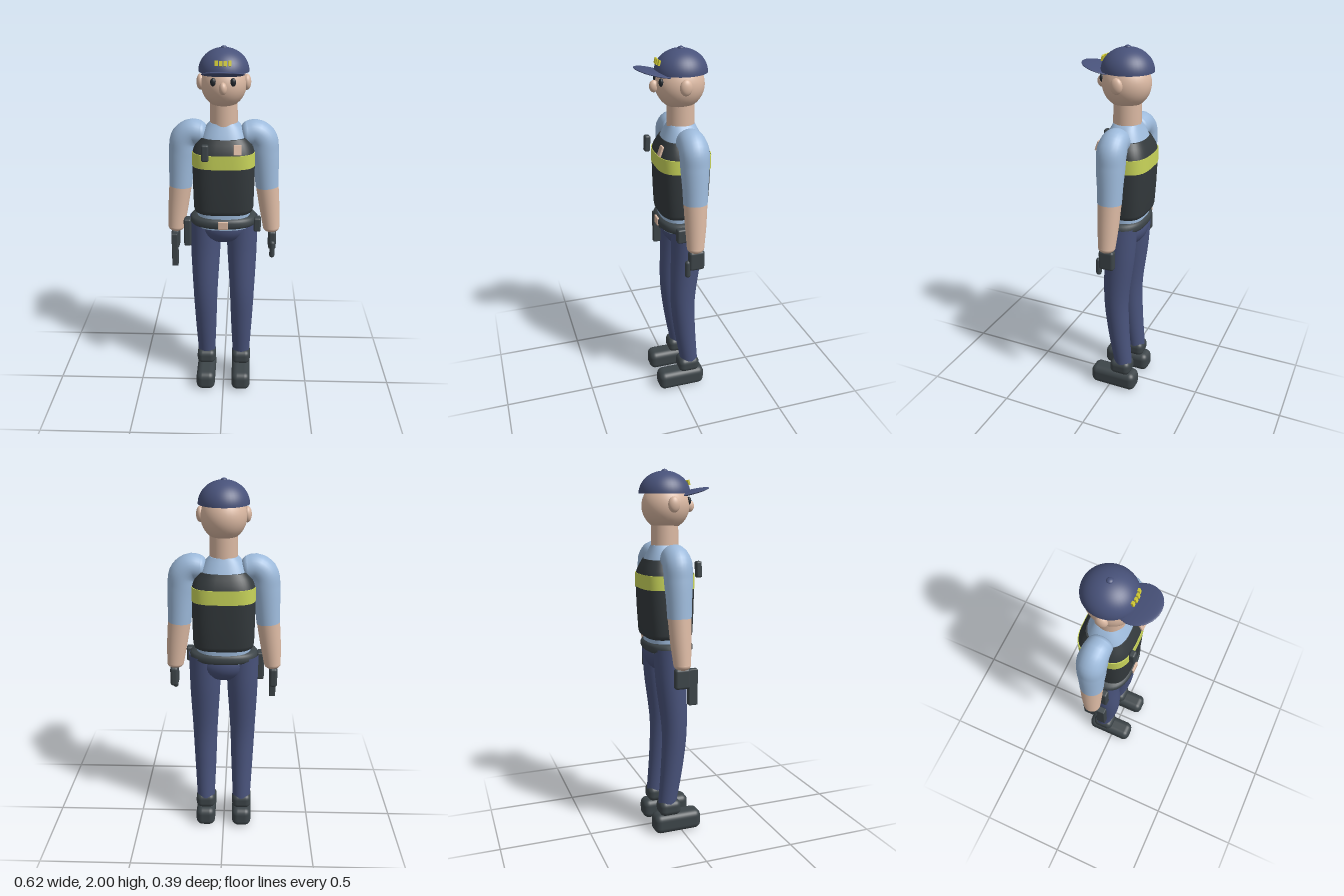
import * as THREE from 'three';
import { RoundedBoxGeometry } from 'three/addons/geometries/RoundedBoxGeometry.js';

const mat = (name, color, side = THREE.FrontSide) => {
  const m = new THREE.MeshStandardMaterial({ color, side });
  m.name = name;
  return m;
};

// Smooth loft of rounded-rectangle rings; each section is [y, rx, rz, cz]
function loft(sections, power = 3, seg = 48) {
  const pos = [], idx = [];
  const bend = (v) => Math.sign(v) * Math.abs(v) ** (2 / power);
  const ring = ([y, rx, rz, cz]) => {
    for (let i = 0; i < seg; i++) {
      const a = (i / seg) * Math.PI * 2;
      pos.push(rx * bend(Math.sin(a)), y, cz + rz * bend(Math.cos(a)));
    }
  };
  sections.forEach(ring);
  for (let j = 0; j < sections.length - 1; j++) {
    for (let i = 0; i < seg; i++) {
      const a = j * seg + i, b = j * seg + ((i + 1) % seg);
      idx.push(a, b, a + seg, b, b + seg, a + seg);
    }
  }
  // flat end caps with their own rings
  [sections[0], sections[sections.length - 1]].forEach((s, end) => {
    const base = pos.length / 3;
    ring(s);
    pos.push(0, s[0], s[3]);
    for (let i = 0; i < seg; i++) {
      const a = base + i, b = base + ((i + 1) % seg);
      if (end) idx.push(a, b, base + seg);
      else idx.push(b, a, base + seg);
    }
  });
  const g = new THREE.BufferGeometry();
  g.setAttribute('position', new THREE.Float32BufferAttribute(pos, 3));
  g.setIndex(idx);
  g.computeVertexNormals();
  return g;
}

// Tube along a path whose radius follows a list of values
function limb(points, radii, steps = 28, sides = 28) {
  const curve = new THREE.CatmullRomCurve3(points.map((p) => new THREE.Vector3(...p)));
  const g = new THREE.TubeGeometry(curve, steps, 1, sides);
  const p = g.attributes.position, v = new THREE.Vector3();
  for (let i = 0; i <= steps; i++) {
    const c = curve.getPointAt(i / steps);
    const f = (i / steps) * (radii.length - 1);
    const k = Math.min(Math.floor(f), radii.length - 2);
    const r = THREE.MathUtils.lerp(radii[k], radii[k + 1], f - k);
    for (let j = 0; j <= sides; j++) {
      const n = i * (sides + 1) + j;
      v.fromBufferAttribute(p, n).sub(c).multiplyScalar(r).add(c);
      p.setXYZ(n, v.x, v.y, v.z);
    }
  }
  return g;
}

export function createModel() {
  const model = new THREE.Group();
  model.name = 'officer';
  const navy = mat('navy', 0x48527a, THREE.DoubleSide);
  const blue = mat('shirt blue', 0x9dbadb, THREE.DoubleSide);
  const skin = mat('skin', 0xdab8a2, THREE.DoubleSide);
  const vestDark = mat('vest black', 0x33393c);
  const dark = mat('gear grey', 0x3d4549);
  const lime = mat('reflective yellow', 0xc9d55a);
  const gold = mat('gold', 0xd6cf35);
  const black = mat('eye black', 0x22282e);

  const add = (name, geo, material, x = 0, y = 0, z = 0) => {
    const m = new THREE.Mesh(geo, material);
    m.name = name;
    m.position.set(x, y, z);
    model.add(m);
    return m;
  };
  const ball = (name, material, x, y, z, rx, ry = rx, rz = rx) => {
    const m = add(name, new THREE.SphereGeometry(1, 32, 20), material, x, y, z);
    m.scale.set(rx, ry, rz);
    return m;
  };
  const box = (name, material, x, y, z, w, h, d, r = 0.01) =>
    add(name, new RoundedBoxGeometry(w, h, d, 4, r), material, x, y, z);

  // Head and face
  ball('head', skin, 0, 1.812, -0.045, 0.119, 0.125, 0.128);
  add('neck', new THREE.CylinderGeometry(0.072, 0.074, 0.14, 32), skin, 0, 1.65, -0.05);
  ball('nose', skin, 0, 1.81, 0.092, 0.02, 0.031, 0.024);
  for (const s of [-1, 1]) {
    ball('ear', skin, s * 0.119, 1.82, -0.04, 0.022, 0.041, 0.032);
    ball('eye', black, s * 0.05, 1.838, 0.068, 0.015, 0.021, 0.012);
  }

  // Cap: dome, closed underside, button, brim and front trim
  const dome = add('capDome', new THREE.SphereGeometry(1, 40, 16, 0, Math.PI * 2, 0, Math.PI / 2), navy, 0, 1.874, -0.05);
  dome.scale.set(0.131, 0.117, 0.137);
  const under = add('capUnderside', new THREE.CircleGeometry(1, 40), navy, 0, 1.874, -0.05);
  under.rotation.x = Math.PI / 2;
  under.scale.set(0.131, 0.137, 1);
  ball('capButton', navy, 0, 1.99, -0.05, 0.016, 0.01, 0.016);
  const brim = ball('capBrim', navy, 0, 1.88, 0.09, 0.108, 0.011, 0.107);
  brim.rotation.x = -0.25;
  for (let i = 0; i < 4; i++) {
    const x = (i - 1.5) * 0.022;
    const b = add('capTrim', new THREE.BoxGeometry(0.015, 0.026, 0.01), gold, x, 1.931, 0.077 - x * x * 4);
    b.rotation.set(-0.25, x * 3, 0);
  }

  // Torso: shirt yoke and waist, vest with reflective band
  add('shirtYoke', loft([[1.53, 0.125, 0.107, -0.052], [1.56, 0.112, 0.094, -0.052],
    [1.59, 0.092, 0.079, -0.052], [1.61, 0.073, 0.07, -0.052]], 2.5), blue);
  add('shirtWaist', loft([[1.03, 0.145, 0.112, -0.046], [1.14, 0.147, 0.114, -0.046]], 2.6), blue);
  add('vestLower', loft([[1.118, 0.148, 0.118, -0.049], [1.126, 0.159, 0.127, -0.049],
    [1.145, 0.164, 0.131, -0.05], [1.26, 0.167, 0.137, -0.051], [1.385, 0.168, 0.141, -0.052]], 3.2), vestDark);
  add('vestBand', loft([[1.385, 0.17, 0.144, -0.052], [1.46, 0.169, 0.144, -0.052]], 3.2), lime);
  add('vestUpper', loft([[1.46, 0.167, 0.141, -0.052], [1.485, 0.159, 0.133, -0.052],
    [1.51, 0.145, 0.12, -0.052], [1.536, 0.126, 0.107, -0.052]], 3), vestDark);
  const radio = box('radio', dark, -0.093, 1.482, 0.107, 0.038, 0.088, 0.032);
  radio.rotation.x = -0.05;
  const badge = box('chestBadge', skin, 0.075, 1.492, 0.081, 0.04, 0.055, 0.012, 0.003);
  badge.rotation.x = -0.35;

  // Belt and its gear
  add('belt', loft([[1.038, 0.155, 0.11, -0.043], [1.045, 0.174, 0.122, -0.043], [1.057, 0.184, 0.128, -0.043],
    [1.077, 0.184, 0.128, -0.043], [1.089, 0.174, 0.122, -0.043], [1.096, 0.155, 0.11, -0.043]], 2.5), dark);
  box('buckle', skin, 0, 1.067, 0.083, 0.056, 0.044, 0.014, 0.004);
  box('pouch', dark, 0.186, 1.048, 0, 0.04, 0.08, 0.055);
  box('holster', dark, -0.201, 0.99, -0.02, 0.04, 0.16, 0.065);

  // Hips
  ball('hips', navy, 0, 1.025, -0.054, 0.155, 0.107, 0.112);

  for (const s of [-1, 1]) {
    // Trouser legs and boots
    add('trouserLeg', limb([[s * 0.1, 1.07, -0.06], [s * 0.103, 0.9, -0.054], [s * 0.106, 0.6, -0.035],
      [s * 0.105, 0.4, -0.048], [s * 0.104, 0.16, -0.078]], [0.09, 0.082, 0.07, 0.061, 0.05]), navy);
    box('bootCuff', dark, s * 0.105, 0.148, -0.068, 0.11, 0.088, 0.124, 0.032);
    box('boot', dark, s * 0.105, 0.056, -0.023, 0.11, 0.112, 0.276, 0.036);

    // Sleeves bent over the shoulder, bare forearms
    add('sleeve', limb([[s * 0.125, 1.545, -0.052], [s * 0.17, 1.55, -0.054], [s * 0.209, 1.515, -0.055],
      [s * 0.222, 1.44, -0.055], [s * 0.238, 1.25, -0.055]], [0.066, 0.077, 0.074, 0.067, 0.063]), blue);
    ball('shoulderEnd', blue, s * 0.125, 1.545, -0.052, 0.04, 0.066, 0.066);
    add('forearm', limb([[s * 0.238, 1.255, -0.055], [s * 0.254, 1.12, -0.053], [s * 0.266, 1.01, -0.05]],
      [0.062, 0.056, 0.046]), skin);
    ball('wrist', skin, s * 0.266, 1.01, -0.05, 0.046, 0.03, 0.046);
    box('glove', dark, s * 0.272, 0.938, -0.053, 0.044, 0.11, 0.085, 0.015);
  }

  // Left finger and the item held in the right hand
  add('finger', new THREE.CapsuleGeometry(0.015, 0.07, 6, 16), dark, 0.273, 0.89, -0.006);
  box('heldTool', dark, -0.272, 0.89, 0.005, 0.034, 0.195, 0.05, 0.005);

  return model;
}
